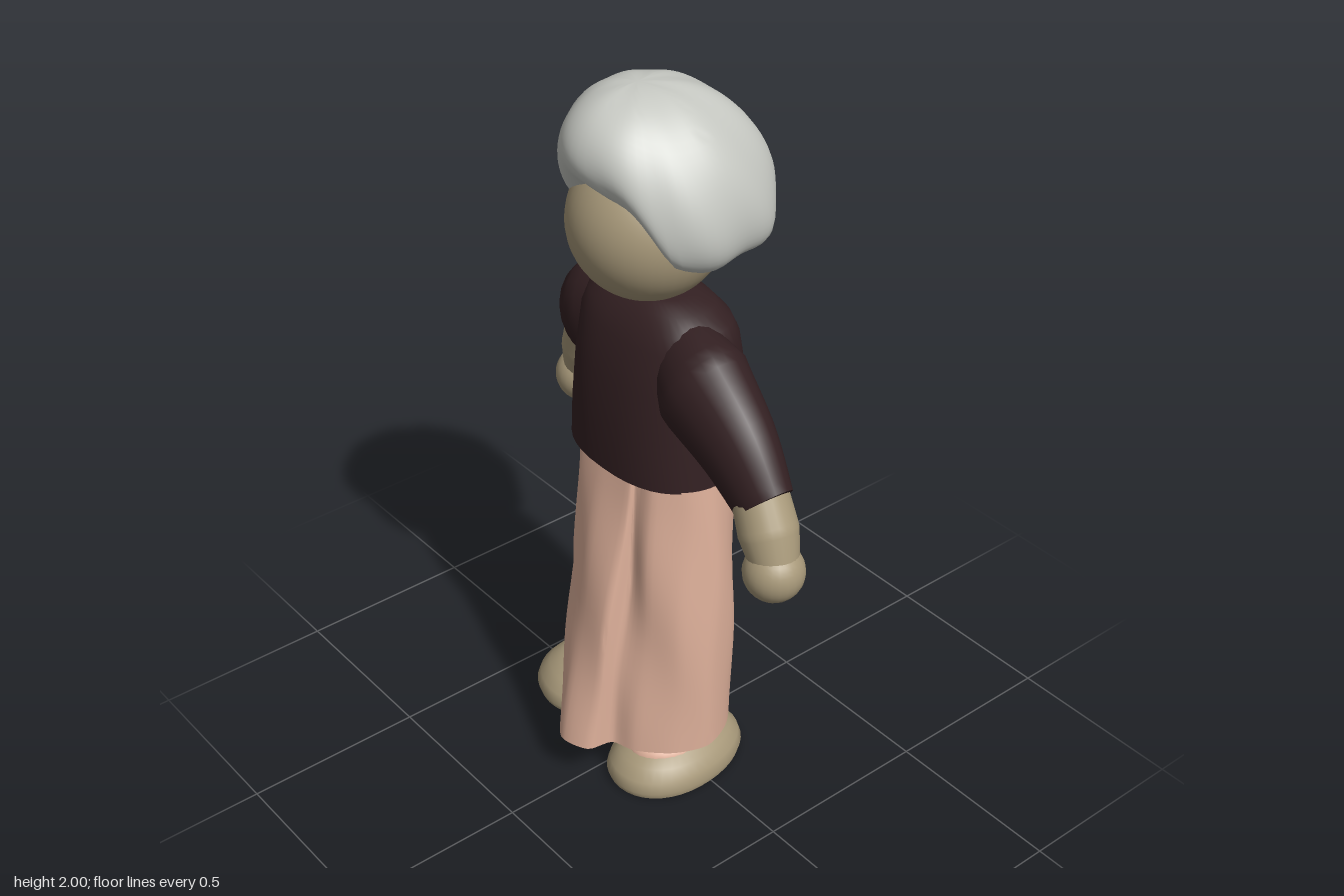
import * as THREE from 'three';
import { toCreasedNormals } from 'three/addons/utils/BufferGeometryUtils.js';

const V = (x, y, z) => new THREE.Vector3(x, y, z);
const { lerp, smoothstep } = THREE.MathUtils;
const mat = (name, color) => {
  const m = new THREE.MeshStandardMaterial({ color });
  m.name = name;
  return m;
};

// Skin over closed rings of points (each ring counter-clockwise seen against its travel)
function skin(rings, crease = 0.9) {
  const n = rings[0].length, pos = [], index = [];
  rings.forEach(r => r.forEach(p => pos.push(p.x, p.y, p.z)));
  for (let i = 0; i < rings.length - 1; i++) {
    for (let j = 0; j < n; j++) {
      const a = i * n + j, b = i * n + (j + 1) % n;
      index.push(a, b, a + n, b, b + n, a + n);
    }
  }
  const g = new THREE.BufferGeometry();
  g.setAttribute('position', new THREE.Float32BufferAttribute(pos, 3));
  g.setIndex(index);
  return toCreasedNormals(g, crease);
}

// Horizontal rounded ring
function ring(x, y, z, rx, rz, power = 1, n = 40) {
  return Array.from({ length: n }, (_, j) => {
    const a = j / n * Math.PI * 2, s = Math.sin(a), c = Math.cos(a);
    return V(x + rx * Math.sign(s) * Math.abs(s) ** power, y, z + rz * Math.sign(c) * Math.abs(c) ** power);
  });
}

// Tapering limb through [x, y, z, radius] stations, closed at both ends
function limb(stations, depth = 1, n = 24) {
  const curve = new THREE.CatmullRomCurve3(stations.map(s => V(s[0], s[1], s[2])));
  const rings = [], steps = 18, last = stations.length - 1;
  for (let i = 0; i <= steps; i++) {
    const t = i / steps, k = Math.min(Math.floor(t * last), last - 1);
    const r = lerp(stations[k][3], stations[k + 1][3], t * last - k);
    const c = curve.getPoint(t), d = curve.getTangent(t);
    const w = V(0, 0, 1).addScaledVector(d, -d.z).normalize();
    const u = d.clone().cross(w);
    const loop = q => Array.from({ length: n }, (_, j) => {
      const a = j / n * Math.PI * 2;
      return c.clone().addScaledVector(u, q * Math.sin(a)).addScaledVector(w, q * depth * Math.cos(a));
    });
    if (i === 0) rings.push(loop(0));
    rings.push(loop(r));
    if (i === steps) rings.push(loop(0));
  }
  return skin(rings);
}

// Pleated skirt: blends a hem outline into a waist outline, [x, z] pairs from the front pleat round
function skirtGeometry() {
  const hem = [[-0.13, 0.225], [-0.04, 0.3], [0.045, 0.275], [0.065, 0.205], [0.13, 0.18], [0.205, 0.105], [0.24, 0.01],
    [0.2, -0.09], [0.1, -0.175], [-0.04, -0.195], [-0.18, -0.215], [-0.31, -0.19], [-0.355, -0.08], [-0.325, 0],
    [-0.235, 0.09], [-0.17, 0.14]];
  const waist = [[-0.12, 0.148], [-0.02, 0.157], [0.08, 0.15], [0.09, 0.135], [0.15, 0.13], [0.215, 0.07], [0.235, 0],
    [0.2, -0.085], [0.11, -0.165], [-0.02, -0.185], [-0.15, -0.17], [-0.23, -0.1], [-0.255, -0.04], [-0.245, 0.03],
    [-0.2, 0.09], [-0.13, 0.123]];
  const rings = [];
  for (let i = 0; i <= 16; i++) {
    const t = i / 16, y = 0.135 + 0.855 * t, swell = Math.sin(Math.PI * t);
    const pts = hem.map(([x, z], k) => V(
      lerp(x, waist[k][0], t) * (1 + (x < 0 ? 0.07 : 0.05) * swell), y,
      lerp(z, waist[k][1], t) + 0.01 * Math.sin(k * 2.1 + t * 7) * swell));
    const loop = new THREE.CatmullRomCurve3(pts, true, 'catmullrom', 0.4).getPoints(80).slice(0, 80);
    if (i === 0) rings.push(loop.map(() => V(-0.04, y, 0.02)));
    rings.push(loop);
  }
  return skin(rings, 0.9);
}

// Tousled hair: a cap tilted back, short over the face and longer at the sides and back
function hairGeometry() {
  const rings = [], n = 64, steps = 28;
  for (let i = steps; i >= 0; i--) {
    const t = i / steps;
    rings.push(Array.from({ length: n }, (_, j) => {
      const a = j / n * Math.PI * 2, s = Math.sin(a), c = Math.cos(a);
      const rim = 1.61 + 0.155 * smoothstep(c, 0.6, 0.97) + 0.035 * smoothstep(-c, 0.2, 1) - 0.012 * s;
      const r = Math.sin(Math.PI * t * 0.8) ** 0.85;
      const lump = 1 + 0.04 * t * t * (Math.sin(5 * a + 4 * t) + 0.6 * Math.sin(9 * a - 8 * t + 1));
      const y = 2 - (2 - rim) * (1 - Math.cos(Math.PI * t)) / 2 + 0.012 * t * Math.sin(7 * a + 2);
      const depth = c > 0 ? 0.245 : 0.27;
      return V(-0.03 + 0.06 * t + 0.256 * r * lump * s, y, 0.03 - 0.075 * t + depth * r * lump * c);
    }));
  }
  return skin(rings, 1.2);
}

// Flat-soled domed shoe, broader at the toe by the given flare
function shoeGeometry(halfWidth, flare) {
  const profile = [[0.002, 0], [0.002, 0.97], [0.02, 1], [0.05, 0.95], [0.08, 0.82], [0.102, 0.66], [0.117, 0.42], [0.124, 0.2], [0.126, 0]];
  const rings = profile.map(([y, s]) => ring(0, y, 0, halfWidth * s, 0.21 * s, 0.95));
  rings.flat().forEach(p => { p.x *= 1 + flare * p.z; });
  return skin(rings);
}

export function createModel() {
  const group = new THREE.Group();
  const tan = mat('tan', 0xa8997a);
  const pink = mat('pink', 0xe0b29c);
  const maroon = mat('dark maroon', 0x332022);
  const grey = mat('pale grey', 0xc6c8c2);
  const add = (name, geometry, material, x = 0, y = 0, z = 0) => {
    const m = new THREE.Mesh(geometry, material);
    m.name = name;
    m.position.set(x, y, z);
    group.add(m);
    return m;
  };

  // Head and hair
  add('head', new THREE.SphereGeometry(0.2, 40, 28), tan, -0.02, 1.643, 0.01);
  add('hair', hairGeometry(), grey);

  // Shirt body: y, half width, z centre, half depth
  const body = [[0.985, 0, -0.02, 0], [0.985, 0.247, -0.02, 0.184], [1.1, 0.24, -0.02, 0.182], [1.25, 0.232, -0.025, 0.175],
    [1.36, 0.228, -0.025, 0.15], [1.405, 0.215, -0.025, 0.128], [1.44, 0.165, -0.025, 0.1], [1.457, 0.1, -0.025, 0.075], [1.463, 0, -0.025, 0]];
  add('shirtBody', skin(body.map(([y, w, z, d]) => ring(-0.015, y, z, w, d, 0.82))), maroon);
  add('skirt', skirtGeometry(), pink);

  // Sleeves, forearms and hands
  add('leftSleeve', limb([[0.06, 1.34, -0.01, 0.1], [0.21, 1.275, 0.02, 0.15], [0.35, 1.195, 0.035, 0.122], [0.467, 1.085, 0.045, 0.09]], 0.76), maroon);
  add('rightSleeve', limb([[-0.08, 1.34, -0.02, 0.1], [-0.235, 1.275, -0.035, 0.148], [-0.355, 1.19, -0.085, 0.118], [-0.457, 1.085, -0.145, 0.09]], 0.78), maroon);
  add('leftForearm', limb([[0.43, 1.13, 0.04, 0.07], [0.49, 1.02, 0.05, 0.076], [0.53, 0.94, 0.06, 0.06]]), tan);
  add('rightForearm', limb([[-0.43, 1.13, -0.13, 0.07], [-0.48, 1.01, -0.155, 0.076], [-0.52, 0.92, -0.17, 0.06]]), tan);
  add('leftHand', new THREE.SphereGeometry(0.078, 24, 18), tan, 0.525, 0.925, 0.06);
  add('rightHand', new THREE.SphereGeometry(0.08, 24, 18), tan, -0.525, 0.89, -0.17);

  // Shoes, stockinged insteps and legs: side, x, z, turn, half width, flare, instep x
  for (const [side, x, z, turn, width, flare, legX] of [
    ['left', 0.1, 0.01, 0.04, 0.147, 0.25, 0.1], ['right', -0.275, -0.05, -0.4, 0.155, 0.8, -0.23]]) {
    add(side + 'Shoe', shoeGeometry(width, flare), tan, x, 0, z).rotation.y = turn;
    const instep = add(side + 'Instep', new THREE.SphereGeometry(1, 28, 18), pink, legX, 0.088, z + 0.025);
    instep.scale.set(0.1, 0.06, 0.125);
    add(side + 'Leg', new THREE.CylinderGeometry(0.085, 0.09, 0.2, 24), pink, legX - 0.01, 0.19, z - 0.035);
  }
  return group;
}
